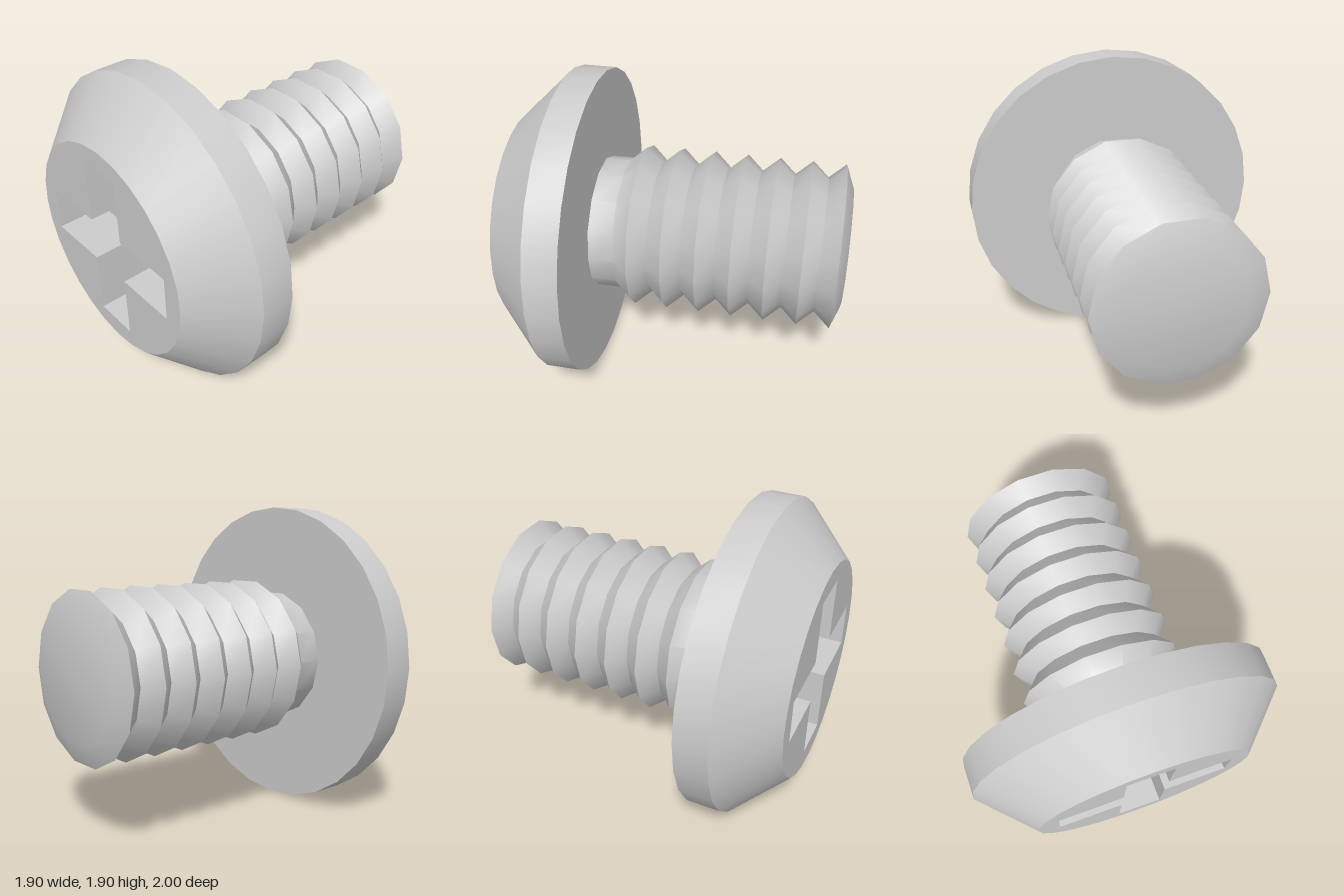
import * as THREE from 'three';
import { toCreasedNormals } from 'three/addons/utils/BufferGeometryUtils.js';

const CREASE = 0.76; // keeps head rim and thread crests sharp, smooths gentler bends
const material = new THREE.MeshStandardMaterial({ color: 0xcccccc });

// Turned part along z from [radius, z] pairs, ordered back to front
function turned(name, profile, sides) {
  const points = profile.map(([r, z]) => new THREE.Vector2(r, z));
  const geometry = new THREE.LatheGeometry(points, sides, Math.PI / 2);
  geometry.rotateX(Math.PI / 2);
  return named(name, toCreasedNormals(geometry, CREASE));
}

function named(name, geometry) {
  const mesh = new THREE.Mesh(geometry, material);
  mesh.name = name;
  return mesh;
}

// Upright walls joining a counter-clockwise outline at two depths, facing inward
function innerWalls(outline, back, front) {
  const positions = [];
  outline.forEach((a, i) => {
    const b = outline[(i + 1) % outline.length];
    positions.push(
      a.x, a.y, front, b.x, b.y, back, a.x, a.y, back,
      a.x, a.y, front, b.x, b.y, front, b.x, b.y, back
    );
  });
  const geometry = new THREE.BufferGeometry();
  geometry.setAttribute('position', new THREE.Float32BufferAttribute(positions, 3));
  geometry.computeVertexNormals();
  return geometry;
}

export function createModel() {
  const group = new THREE.Group();
  group.name = 'screw';
  const headSides = 28, faceRadius = 0.65;

  // Head: flat underside, straight rim and bevel
  group.add(turned('head', [[0.4, 0.5], [0.95, 0.5], [0.95, 0.7], [faceRadius, 1]], headSides));

  // Cross outline, one quarter turned four times
  const long = 0.525, half = 0.138;
  const cross = [];
  for (let i = 0; i < 4; i++) {
    for (const [x, y] of [[long, -half], [long, half], [half, half]]) {
      cross.push(new THREE.Vector2(x, y).rotateAround(new THREE.Vector2(), i * Math.PI / 2));
    }
  }

  // Front face with the cross cut out
  const rim = [];
  for (let i = 0; i < headSides; i++) {
    const a = (i / headSides) * Math.PI * 2;
    rim.push(new THREE.Vector2(Math.cos(a) * faceRadius, Math.sin(a) * faceRadius));
  }
  const face = new THREE.Shape(rim);
  face.holes.push(new THREE.Path(cross));
  group.add(named('headFace', new THREE.ShapeGeometry(face).translate(0, 0, 1)));

  // Driver recess
  group.add(named('recessWalls', innerWalls(cross, 0.7, 1)));
  group.add(named('recessFloor', new THREE.ShapeGeometry(new THREE.Shape(cross)).translate(0, 0, 0.7)));

  // Shaft: closed end, seven thread ridges, plain neck
  const shaft = [[0, -1], [0.37, -1]];
  for (let i = 0; i < 7; i++) {
    const z = -0.95 + i * 0.2;
    shaft.push([0.5, z], [0.41, z + 0.1]);
  }
  shaft.push([0.41, 0.5]);
  group.add(turned('threadedShaft', shaft, 14));

  group.children.forEach((part) => { part.position.y = 0.95; });
  return group;
}
